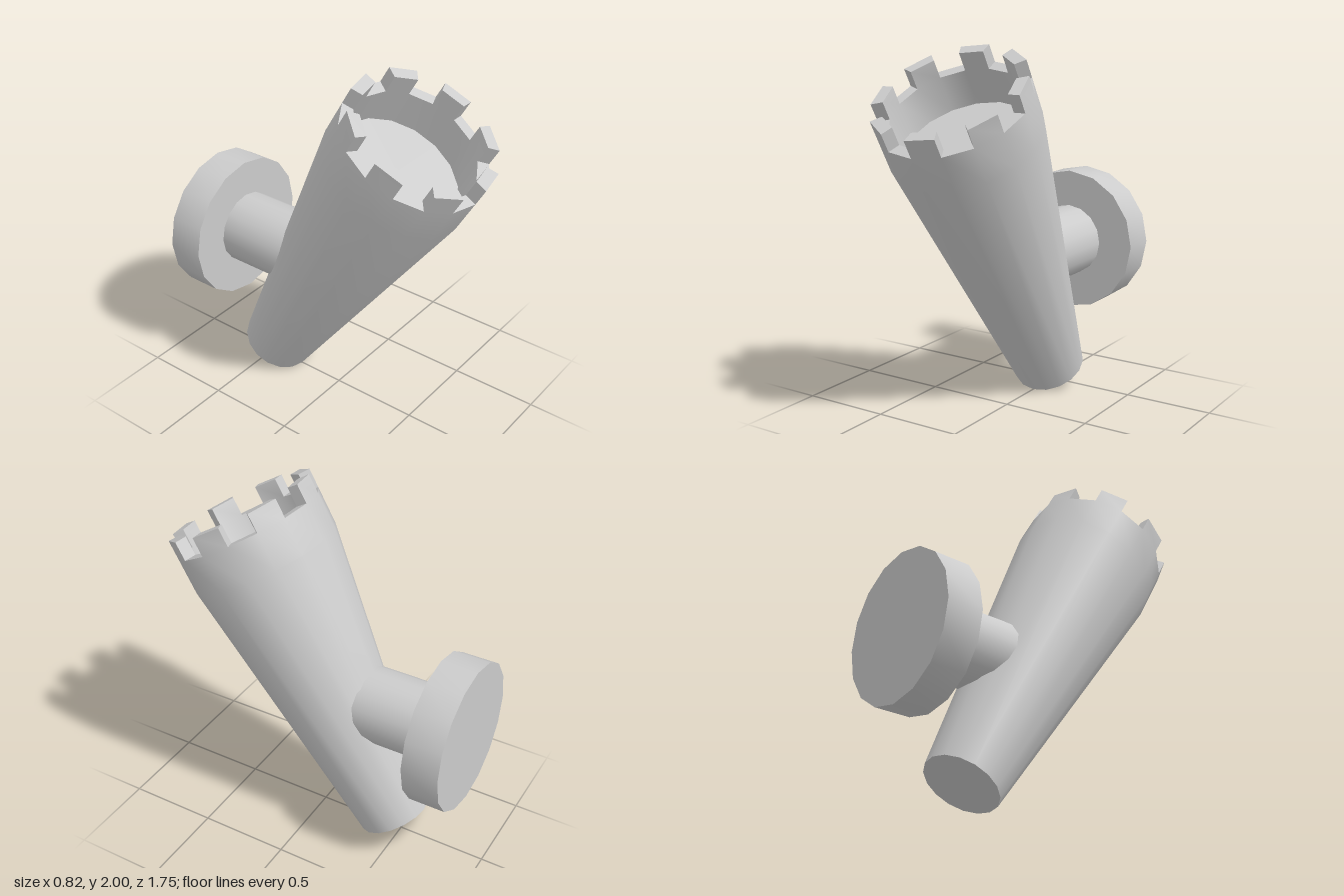
import * as THREE from 'three';
import { mergeGeometries, toCreasedNormals } from 'three/addons/utils/BufferGeometryUtils.js';

const SIDES = 16;
const STEP = (Math.PI * 2) / SIDES;
const CREASE = 0.6;

const R_FOOT = 0.205, R_RIM = 0.41, R_BORE = 0.345;
const Y_SHOULDER = 1.643, Y_NOTCH = 1.85, Y_TOP = 1.955;

const material = new THREE.MeshStandardMaterial({ color: 0xcccccc });

function addMesh(parent, name, geometry) {
  const mesh = new THREE.Mesh(toCreasedNormals(geometry, CREASE), material);
  mesh.name = name;
  parent.add(mesh);
  return mesh;
}

// One rim tooth: a single facet of the ring between two lathe angles
function toothGeometry(angle) {
  const at = (r, a) => new THREE.Vector2(r * Math.sin(a), -r * Math.cos(a));
  const shape = new THREE.Shape([
    at(R_RIM, angle), at(R_RIM, angle + STEP),
    at(R_BORE, angle + STEP), at(R_BORE, angle),
  ]);
  const g = new THREE.ExtrudeGeometry(shape, { depth: Y_TOP - Y_NOTCH, bevelEnabled: false });
  return g.rotateX(-Math.PI / 2).translate(0, Y_NOTCH, 0);
}

// Disc or rod lying along z
function rodGeometry(radius, zBack, zFront) {
  return new THREE.CylinderGeometry(radius, radius, zFront - zBack, SIDES)
    .rotateX(Math.PI / 2)
    .translate(0, 0.82, (zBack + zFront) / 2);
}

export function createModel() {
  const model = new THREE.Group();
  model.name = 'wallTorchHolder';

  // Tapered holder with a shallow cup at the top and a toothed rim
  const profile = [
    [0, 0], [R_FOOT, 0], [R_RIM, Y_SHOULDER], [R_RIM, Y_NOTCH],
    [R_BORE, Y_NOTCH], [R_BORE, Y_SHOULDER], [0, Y_SHOULDER],
  ].map(([r, y]) => new THREE.Vector2(r, y));
  const pieces = [new THREE.LatheGeometry(profile, SIDES).toNonIndexed()];
  for (let i = 0; i < SIDES; i += 2) pieces.push(toothGeometry(i * STEP));
  const holder = addMesh(model, 'holder', mergeGeometries(pieces));
  holder.rotation.x = Math.PI / 6;
  holder.position.set(0, 0.1025, -0.457);

  // Wall bracket: stem and round backplate
  addMesh(model, 'stem', rodGeometry(0.205, -0.68, -0.1));
  addMesh(model, 'wallPlate', rodGeometry(0.41, -0.873, -0.67));

  return model;
}
